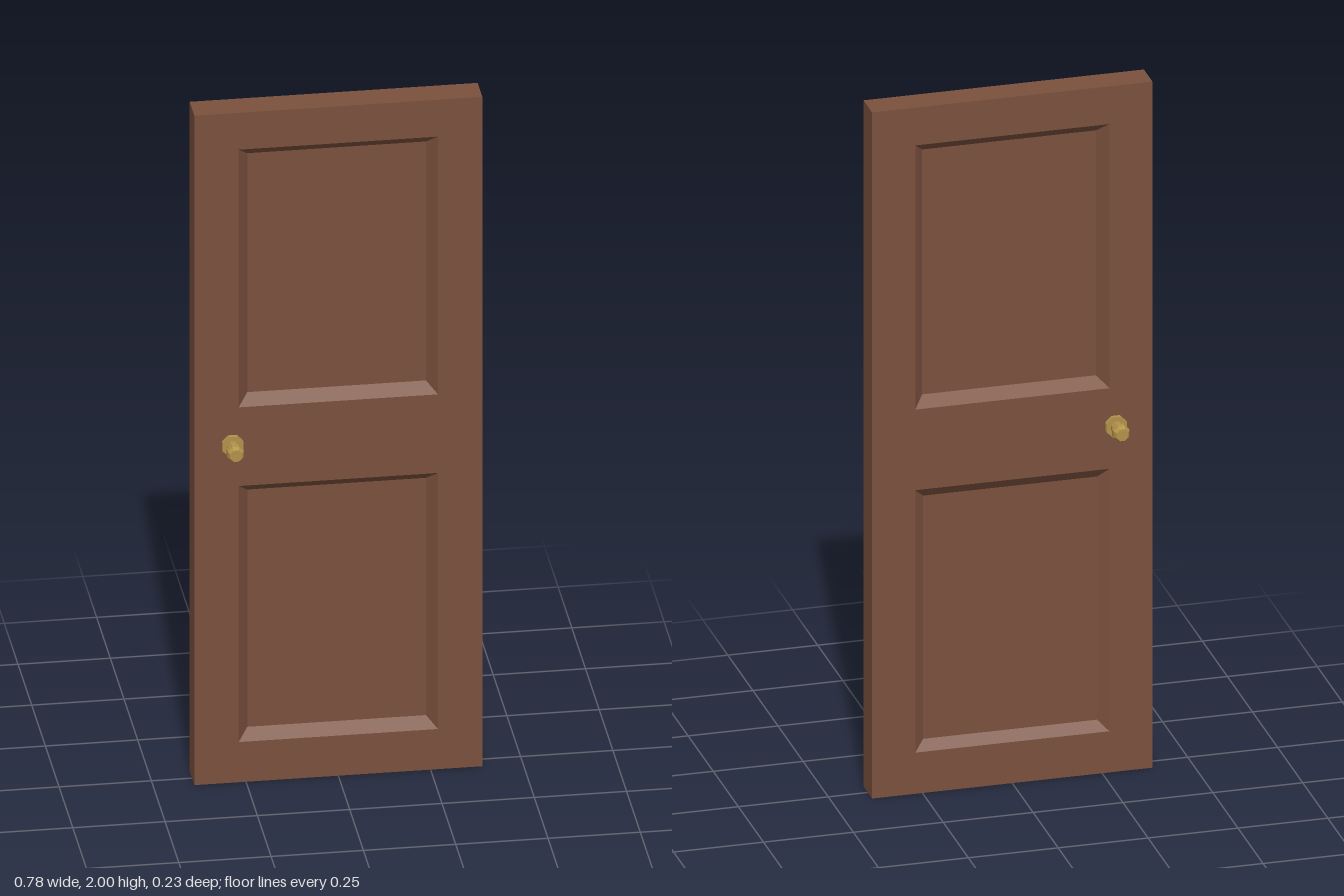
import * as THREE from 'three';

const W = 0.39, H = 2, T = 0.043;
const wood = new THREE.MeshStandardMaterial({ color: 0x7a503d, flatShading: true });
const brass = new THREE.MeshStandardMaterial({ color: 0xb3924a, flatShading: true });

// Counter-clockwise corners of a rectangle at depth z
function rect(x, y0, y1, z) {
  return [[-x, y0, z], [x, y0, z], [x, y1, z], [-x, y1, z]];
}

// Skin through nested rectangles, with the last one closed
function nestedRects(rects) {
  const pos = [];
  const quad = (a, b, c, d) => pos.push(...a, ...b, ...c, ...a, ...c, ...d);
  for (let r = 0; r < rects.length - 1; r++) {
    const p = rects[r], q = rects[r + 1];
    for (let i = 0; i < 4; i++) {
      const j = (i + 1) % 4;
      quad(p[i], p[j], q[j], q[i]);
    }
  }
  quad(...rects[rects.length - 1]);
  const g = new THREE.BufferGeometry();
  g.setAttribute('position', new THREE.Float32BufferAttribute(pos, 3));
  g.computeVertexNormals();
  return g;
}

// Half of one door face: edge half, flat frame, sloped moulding, sunken panel
function panelHalf(y0, y1, p0, p1, bevel, depth) {
  return nestedRects([
    rect(W, y0, y1, T),
    rect(0.27, p0, p1, T),
    rect(0.27 - bevel, p0 + bevel, p1 - bevel, T - depth),
  ]);
}

// Turned knob with its round plate, axis along +z
function makeKnob() {
  const profile = [
    [0, 0.04], [0.031, 0.04], [0.031, 0.055], [0.017, 0.055], [0.017, 0.077],
    [0.024, 0.086], [0.024, 0.103], [0.018, 0.114], [0, 0.114],
  ].map(([r, y]) => new THREE.Vector2(r, y));
  const g = new THREE.LatheGeometry(profile, 8, Math.PI / 8);
  g.rotateX(Math.PI / 2);
  return new THREE.Mesh(g, brass);
}

export function createModel() {
  const door = new THREE.Group();
  door.name = 'door';

  for (const side of ['front', 'back']) {
    const face = new THREE.Group();
    face.name = side + 'Face';
    const upper = new THREE.Mesh(panelHalf(1, H, 1.12, 1.89, 0.028, 0.032), wood);
    upper.name = side + 'UpperPanel';
    const lowerDepth = side === 'front' ? 0.032 : 0.022;
    const lower = new THREE.Mesh(panelHalf(0, 1, 0.12, 0.885, 0.028, lowerDepth), wood);
    lower.name = side + 'LowerPanel';
    face.add(upper, lower);
    if (side === 'back') face.rotation.y = Math.PI;
    door.add(face);

    // Knobs sit at the same x on both faces
    const knob = makeKnob();
    knob.name = side + 'Knob';
    knob.position.set(-0.287, 1.01, 0);
    if (side === 'back') knob.rotation.y = Math.PI;
    door.add(knob);
  }

  // Four plain edges of the slab
  const edges = new THREE.Group();
  edges.name = 'slabEdges';
  for (const s of [-1, 1]) {
    const stile = new THREE.Mesh(new THREE.PlaneGeometry(2 * T, H), wood);
    stile.name = s > 0 ? 'leftEdge' : 'rightEdge';
    stile.position.set(s * W, H / 2, 0);
    stile.rotation.y = s * Math.PI / 2;
    const rail = new THREE.Mesh(new THREE.PlaneGeometry(2 * W, 2 * T), wood);
    rail.name = s > 0 ? 'topEdge' : 'bottomEdge';
    rail.position.y = s > 0 ? H : 0;
    rail.rotation.x = -s * Math.PI / 2;
    edges.add(stile, rail);
  }
  door.add(edges);
  return door;
}
